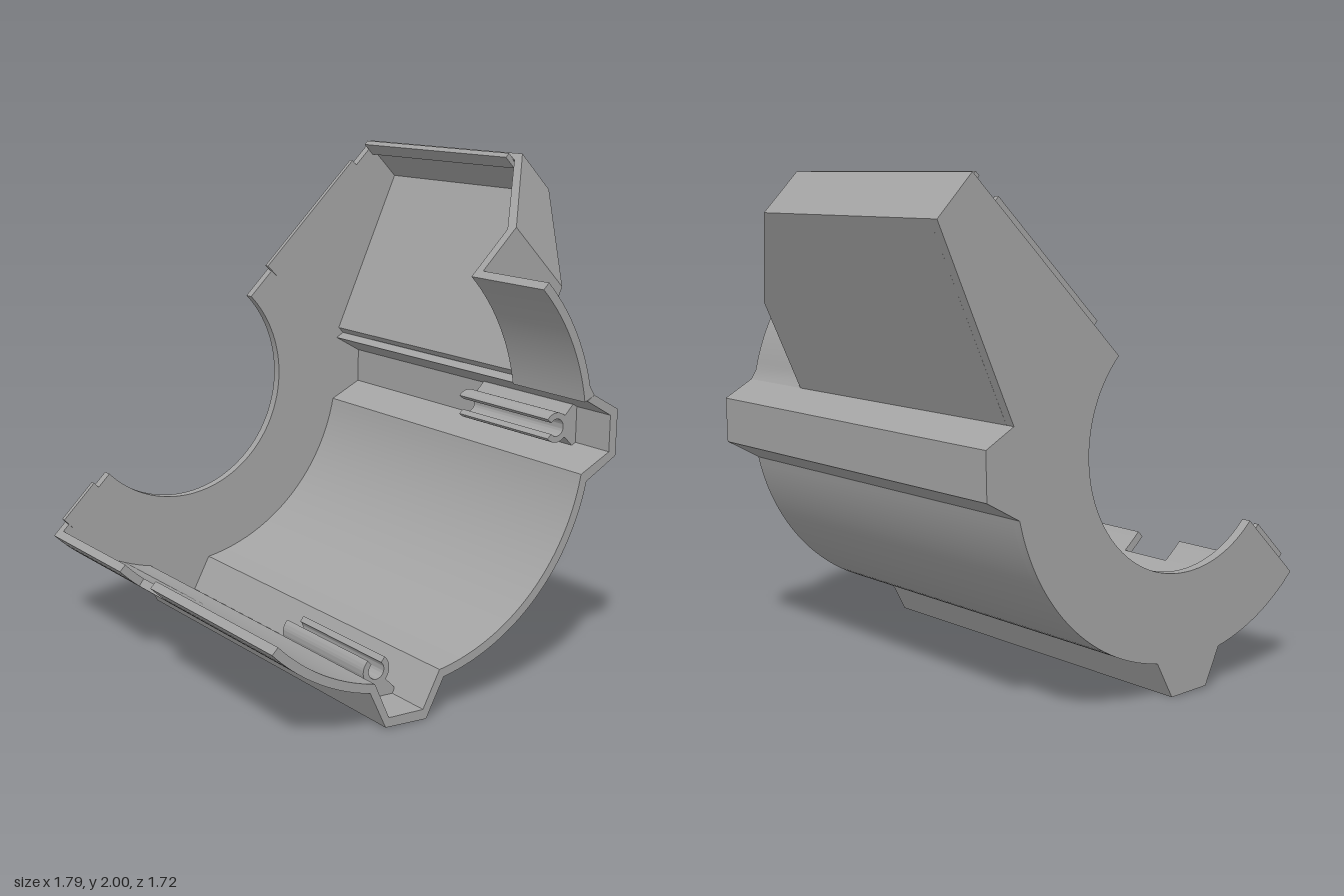
import * as THREE from 'three';
import { toCreasedNormals } from 'three/addons/utils/BufferGeometryUtils.js';

const CX = -0.285, CY = 0.985;           // bore axis
const R = 0.85, RI = 0.815, BORE = 0.503; // shell outer, shell inner, end wall opening
const CUT = 44.2;                         // angle of the parting plane
const BACK = -0.86, WALL = -0.82, FRONT = 0.86;
const rad = THREE.MathUtils.degToRad;

function arc(r, a0, a1, cx = CX, cy = CY) {
  const n = Math.max(2, Math.ceil(Math.abs(a1 - a0) / 2.5)), pts = [];
  for (let i = 0; i <= n; i++) {
    const a = rad(a0 + (a1 - a0) * i / n);
    pts.push([cx + r * Math.cos(a), cy + r * Math.sin(a)]);
  }
  return pts;
}

function extrude(points, z0, z1) {
  const shape = new THREE.Shape(points.map(([x, y]) => new THREE.Vector2(x, y)));
  const g = new THREE.ExtrudeGeometry(shape, { depth: z1 - z0, bevelEnabled: false });
  return g.translate(0, 0, z0);
}

export function createModel() {
  const model = new THREE.Group();
  model.name = 'halfHousing';
  const grey = new THREE.MeshStandardMaterial({ color: 0xa3a3a3 });
  grey.name = 'grey';

  function add(name, geometry, parent = model) {
    const mesh = new THREE.Mesh(toCreasedNormals(geometry, 0.4), grey);
    mesh.name = name;
    parent.add(mesh);
    return mesh;
  }

  // Outline of the curved shell with its two angular channels
  const notchEnd = 231.8, cutEnd = 180 + CUT;
  const outer = (start) => [
    ...arc(R, start, 256.8), [-0.41, 0.01], [-0.225, 0],
    ...arc(R, 279.5, 346.7), [0.69, 0.87], [0.695, 1.055], [0.57, 1.125],
  ];
  const inner = [
    ...arc(RI, notchEnd, 257.7), [-0.395, 0.045], [-0.24, 0.04],
    ...arc(RI, 278.5, 348.4), [0.655, 0.89], [0.657, 1.035], [0.535, 1.105],
  ];
  add('shell', extrude([...outer(notchEnd), ...inner.reverse()], WALL, FRONT));

  // Shell edge on both sides of the notch
  const edge = [...arc(R, cutEnd, notchEnd), ...arc(RI, notchEnd, cutEnd)];
  add('shellEdgeBack', extrude(edge, WALL, -0.26));
  add('shellEdgeFront', extrude(edge, -0.01, FRONT));

  // Upper shell in front of the duct
  const upper = [[0.57, 1.125], ...arc(R, 12, CUT), ...arc(RI, CUT, 8.3)];
  add('upperShell', extrude(upper, 0.44, FRONT));

  // Duct, in a frame with x along the parting plane and -y into the body
  const duct = new THREE.Group();
  duct.name = 'duct';
  duct.position.set(CX, CY, 0);
  duct.rotation.z = rad(CUT);
  model.add(duct);
  const U0 = 0.711, U1 = 1.077, U2 = 1.446, T = 0.035;
  const depthAt = (u) => 0.496 - 0.385 * (u - U0);

  // Extrudes a plan in (u, z) and bends its depth to follow the sloping side
  function slopedWall(name, plan, depth) {
    const g = extrude(plan, 0, 1);
    const p = g.attributes.position;
    for (let i = 0; i < p.count; i++) {
      const u = p.getX(i), z = p.getY(i), t = p.getZ(i);
      p.setXYZ(i, u, -depth(u, t), z);
    }
    g.computeVertexNormals();
    return add(name, g, duct);
  }
  slopedWall('ductSide',
    [[U0, WALL], [U2, WALL], [U2, 0.2], [U1, 0.48], [U0, 0.48]],
    (u, t) => depthAt(u) - T * (1 - t));
  slopedWall('ductEnd',
    [[U2 - T, WALL], [U2, WALL], [U2, 0.2], [U1, 0.48], [U1 - 0.015, 0.44], [U2 - T, 0.18]],
    (u, t) => depthAt(u) * t);
  add('ductFront', extrude([
    ...arc(0.835, -35, 0, 0, 0), [U1, 0], [U1, -depthAt(U1)], [U0, -depthAt(U0)],
  ], 0.44, 0.48), duct);

  // Back wall with the round opening
  const toWorld = (u, v) => {
    const c = Math.cos(rad(CUT)), s = Math.sin(rad(CUT));
    return [CX + u * c + v * s, CY + u * s - v * c];
  };
  add('backWall', extrude([
    ...outer(cutEnd), toWorld(U2, depthAt(U2)), toWorld(U2, 0),
    ...arc(BORE, CUT, CUT - 180),
  ], BACK, WALL));

  // Locating tongues standing proud of the parting plane
  function tongue(name, u0, u1, z0, z1) {
    const g = new THREE.BoxGeometry(u1 - u0, 0.065, z1 - z0);
    g.translate((u0 + u1) / 2, 0.0005, (z0 + z1) / 2);
    add(name, g, duct);
  }
  tongue('upperTongue', 0.655, 1.294, -0.836, -0.815);
  tongue('lowerTongue', -0.778, -0.577, -0.836, -0.815);
  tongue('ductTongue', 1.392, 1.415, WALL, 0.17);

  // Spring clips: an open ring on a flared foot
  const clip = [
    [-0.085, -0.108], [0.085, -0.108], [0.083, -0.083], [0.045, -0.045],
    ...arc(0.06, -40, 50, 0, 0), ...arc(0.035, 50, -230, 0, 0), ...arc(0.06, 130, 220, 0, 0),
    [-0.045, -0.045], [-0.083, -0.083],
  ];
  for (const [name, x, y, turn] of [['lowerClip', -0.315, 0.148, 0], ['sideClip', 0.553, 0.963, 90]]) {
    const mesh = add(name, extrude(clip, 0.12, 0.67));
    mesh.position.set(x, y, 0);
    mesh.rotation.z = rad(turn);
  }
  return model;
}
